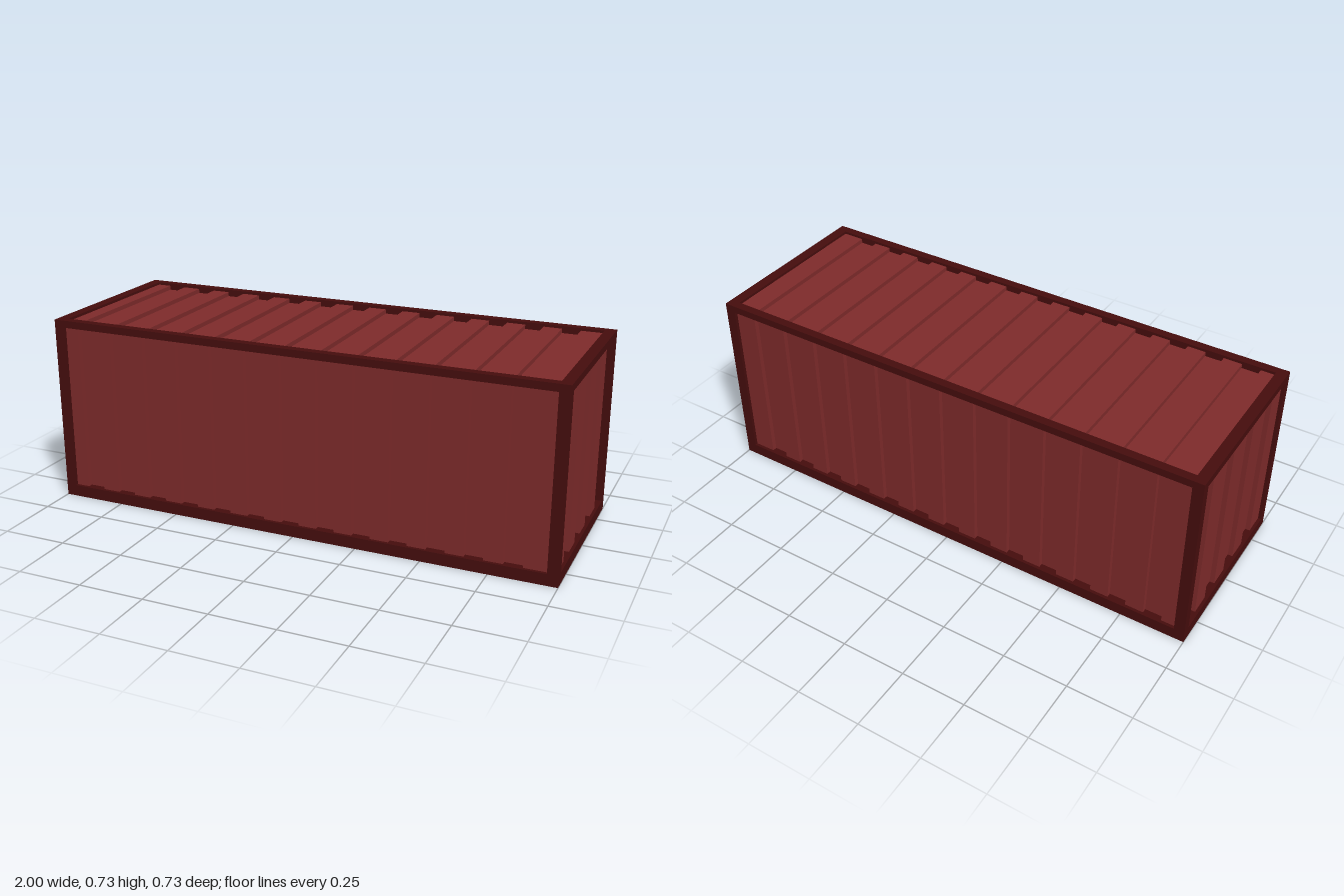
import * as THREE from 'three';

const X = 1, Z = 0.3625, H = 0.725;              // half length, half width, height
const POST_X = 0.041, POST_Z = 0.033;            // corner post section
const SILL = 0.045, HEADER = 0.028;              // bottom and top rail heights

const panelMat = new THREE.MeshStandardMaterial({ color: 0x7d2a2a, flatShading: true });
const frameMat = new THREE.MeshStandardMaterial({ color: 0x450d0d, flatShading: true });

// Solid panel with square-stepped ribs: u runs across the ribs, v points outward.
function corrugated(lo, hi, steps, outer, inner, length) {
  const edges = [...steps, hi];
  const s = new THREE.Shape();
  s.moveTo(lo, -0.06);
  s.lineTo(hi, -0.06);
  for (let i = edges.length - 1; i >= 0; i--) {
    const v = i % 2 === 0 ? -outer : -inner;
    s.lineTo(edges[i], v);
    s.lineTo(i ? edges[i - 1] : lo, v);
  }
  const g = new THREE.ExtrudeGeometry(s, { depth: length, bevelEnabled: false });
  return g.translate(0, 0, -length / 2);
}

export function createModel() {
  const group = new THREE.Group();
  group.name = 'shippingContainer';

  function box(name, mat, w, h, d, x, y, z) {
    const m = new THREE.Mesh(new THREE.BoxGeometry(w, h, d), mat);
    m.name = name;
    m.position.set(x, y, z);
    group.add(m);
  }

  function panel(name, geometry, u, v, x, y, z) {
    const w = new THREE.Vector3().crossVectors(u, v);
    const matrix = new THREE.Matrix4().makeBasis(u, v, w).setPosition(x, y, z);
    const m = new THREE.Mesh(geometry.clone().applyMatrix4(matrix), panelMat);
    m.name = name;
    group.add(m);
  }

  // Frame: corner posts, long rails and end rails
  const inX = X - POST_X, inZ = Z - POST_Z;
  for (const sx of [-1, 1]) {
    for (const sz of [-1, 1]) {
      box('cornerPost', frameMat, POST_X, H, POST_Z, sx * (X - POST_X / 2), H / 2, sz * (Z - POST_Z / 2));
    }
  }
  for (const s of [-1, 1]) {
    for (const [name, h, y] of [['Sill', SILL, SILL / 2], ['Header', HEADER, H - HEADER / 2]]) {
      box('long' + name, frameMat, 2 * inX, h, POST_Z, 0, y, s * (Z - POST_Z / 2));
      box('end' + name, frameMat, POST_X, h, 2 * inZ, s * (X - POST_X / 2), y, 0);
    }
  }

  // Rib positions along the length and across the ends
  const longSteps = Array.from({ length: 26 }, (_, i) => -0.904 + i * 0.07105);
  const endSteps = Array.from({ length: 7 }, (_, i) => -0.25 + i * 0.0827).map((z) => -z).reverse();
  const wallH = H - SILL - HEADER, midY = SILL + wallH / 2;

  const ax = new THREE.Vector3(1, 0, 0), ay = new THREE.Vector3(0, 1, 0), az = new THREE.Vector3(0, 0, 1);
  const sideGeo = corrugated(-inX, inX, longSteps, 0.012, 0.03, wallH);
  const roofGeo = corrugated(-inX, inX, longSteps, 0.01, 0.027, 2 * inZ);
  // The end ribs are counted from the front edge, so u runs towards the back
  const endGeo = corrugated(-inZ, inZ, endSteps, 0.012, 0.03, wallH);

  panel('frontWall', sideGeo, ax, az, 0, midY, Z);
  panel('backWall', sideGeo, ax, az.clone().negate(), 0, midY, -Z);
  panel('roof', roofGeo, ax, ay, 0, H, 0);
  for (const s of [-1, 1]) {
    panel('endWall', endGeo, az.clone().negate(), ax.clone().multiplyScalar(s), s * X, midY, 0);
  }

  // Recessed floor with a lining inside the sills
  const t = 0.002, floorY = 0.043;
  box('floor', panelMat, 2 * inX, 0.02, 2 * inZ, 0, floorY + 0.01, 0);
  for (const s of [-1, 1]) {
    box('sillLining', panelMat, 2 * inX, floorY - 0.001, t, 0, (floorY + 0.001) / 2, s * (inZ - t / 2));
    box('sillLining', panelMat, t, floorY - 0.001, 2 * inZ, s * (inX - t / 2), (floorY + 0.001) / 2, 0);
  }

  return group;
}
